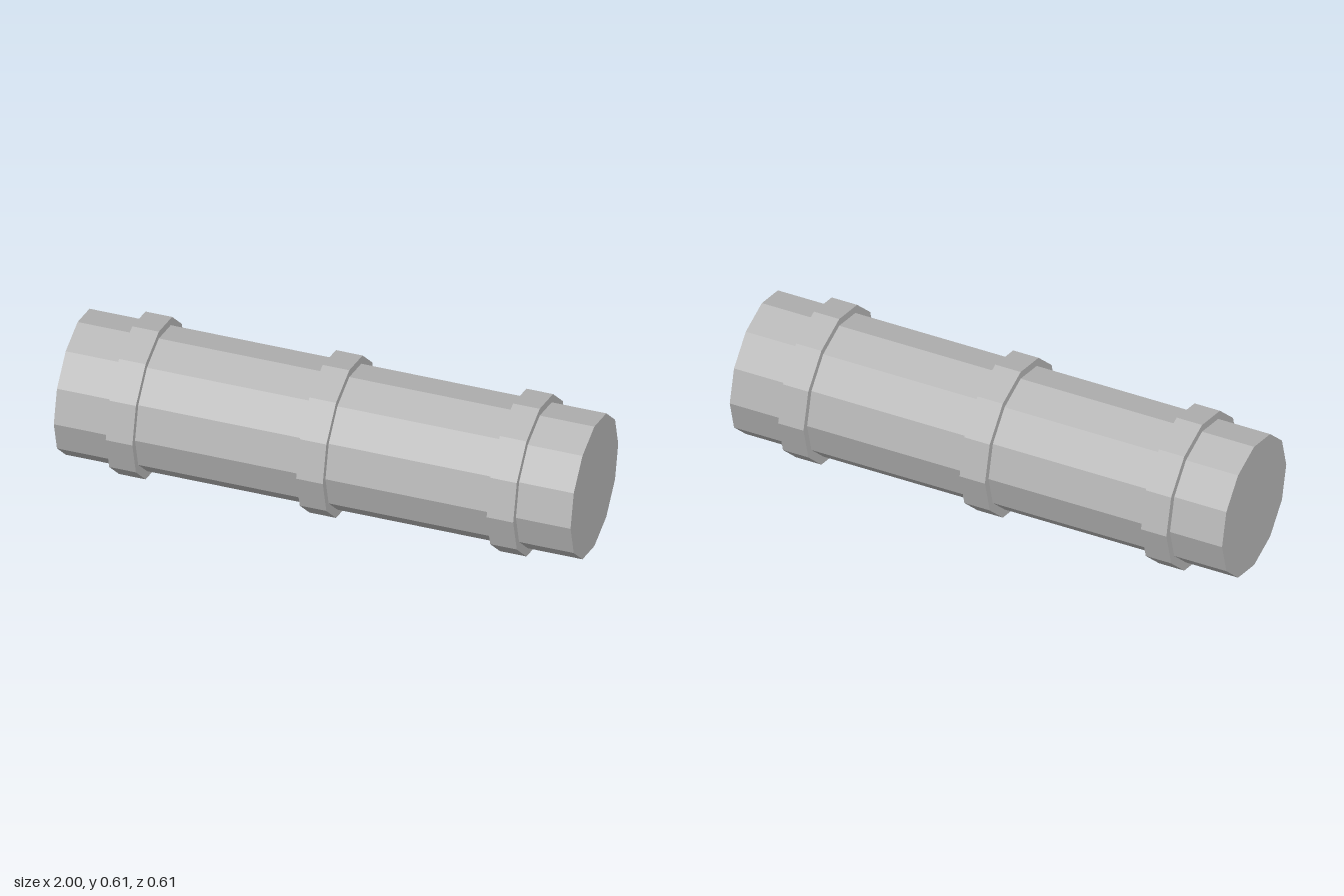
import * as THREE from 'three';

export function createModel() {
  const model = new THREE.Group();
  model.name = 'bandedPipe';
  const SIDES = 12, AXIS_Y = 0.305;
  const grey = new THREE.MeshStandardMaterial({ color: 0xb8b8b8, flatShading: true });
  grey.name = 'light grey';

  // Twelve-sided cylinder lying along x
  function drum(name, radius, length, x) {
    const geometry = new THREE.CylinderGeometry(radius, radius, length, SIDES);
    geometry.rotateZ(Math.PI / 2);
    const mesh = new THREE.Mesh(geometry, grey);
    mesh.name = name;
    mesh.position.set(x, AXIS_Y, 0);
    model.add(mesh);
  }

  // Main pipe
  drum('pipe', 0.274, 2, 0);

  // Raised bands around the pipe
  [['rightBand', -0.737], ['middleBand', 0], ['leftBand', 0.737]]
    .forEach(([name, x]) => drum(name, AXIS_Y, 0.103, x));

  return model;
}
